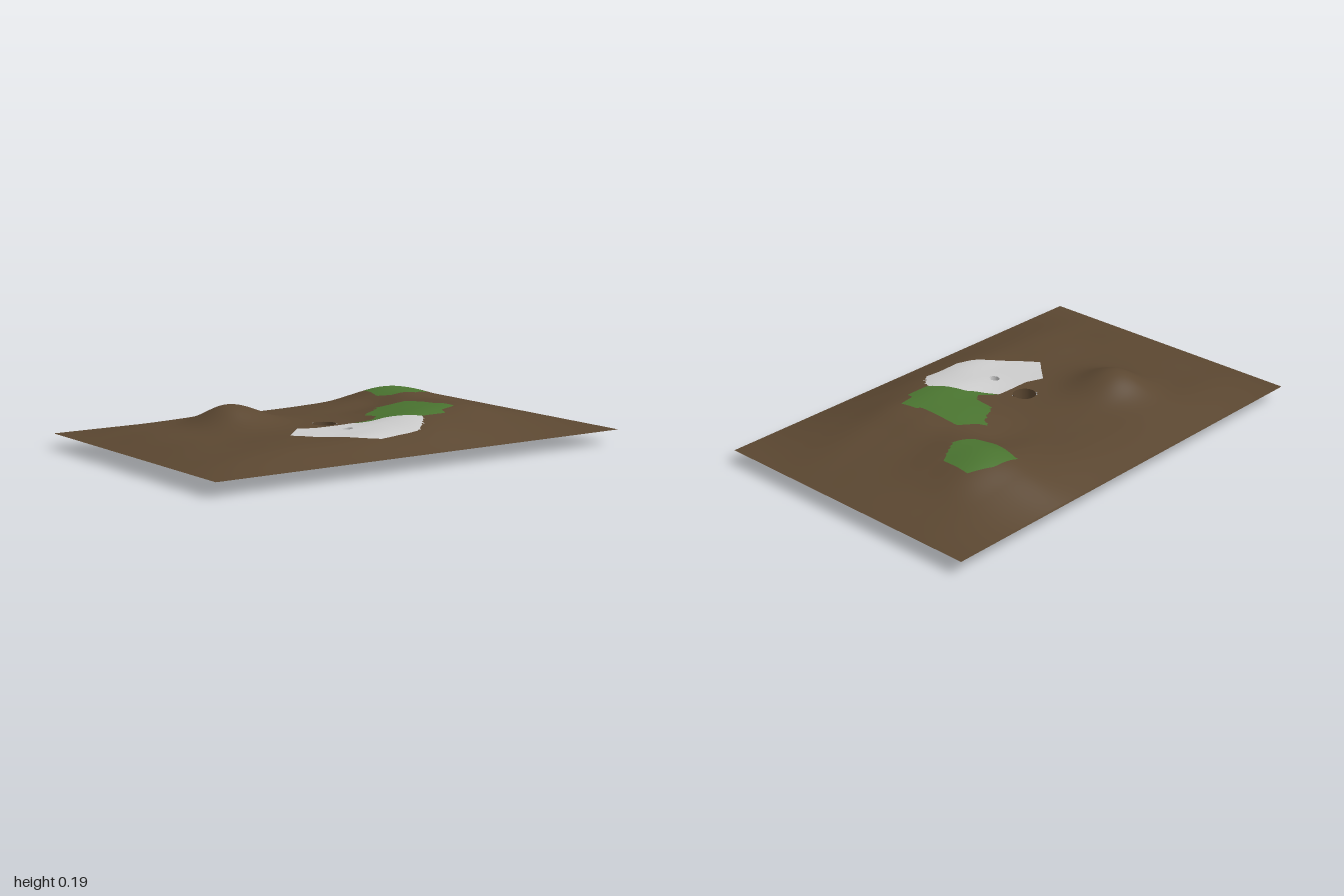
import * as THREE from 'three';

const soil = new THREE.MeshStandardMaterial({ name: 'soilBrown', color: 0x5b4731, side: THREE.DoubleSide });
const grass = new THREE.MeshStandardMaterial({ name: 'grassGreen', color: 0x4a7430, side: THREE.DoubleSide });
const pale = new THREE.MeshStandardMaterial({ name: 'paleGrey', color: 0xcccccc, side: THREE.DoubleSide });

const HALF_X = 0.645, HALF_Z = 1, EDGE = 0.06;

// Control heights of the rolling ground: one row per z, one column per x
const XS = [-HALF_X, -0.45, -0.3, -0.15, 0, 0.15, 0.3, 0.45, HALF_X];
const ZS = [-1, -0.8, -0.6, -0.45, -0.3, -0.15, 0, 0.2, 0.4, 0.6, 0.8, 1];
const inner = [
  [0.085, 0.095, 0.1, 0.1, 0.1, 0.1, 0.085],
  [0.12, 0.16, 0.155, 0.14, 0.14, 0.14, 0.11],
  [0.135, 0.176, 0.174, 0.165, 0.172, 0.168, 0.125],
  [0.11, 0.132, 0.128, 0.15, 0.165, 0.166, 0.13],
  [0.1, 0.11, 0.11, 0.128, 0.145, 0.158, 0.135],
  [0.095, 0.105, 0.11, 0.113, 0.118, 0.135, 0.122],
  [0.095, 0.105, 0.11, 0.11, 0.112, 0.114, 0.115],
  [0.1, 0.11, 0.115, 0.11, 0.11, 0.112, 0.105],
  [0.095, 0.1, 0.1, 0.1, 0.1, 0.105, 0.1],
  [0.085, 0.09, 0.095, 0.095, 0.095, 0.09, 0.085],
];
const flat = XS.map(() => EDGE);
const ROWS = [flat, ...inner.map((r) => [EDGE, ...r, EDGE]), flat];

// Smooth cubic curve through unevenly spaced knots
function interpolate(knots, values, t) {
  const last = knots.length - 1;
  let i = 0;
  while (i < last - 1 && t > knots[i + 1]) i++;
  const slope = (k) => {
    const a = Math.max(k - 1, 0), b = Math.min(k + 1, last);
    return (values[b] - values[a]) / (knots[b] - knots[a]);
  };
  const h = knots[i + 1] - knots[i];
  const u = Math.min(Math.max((t - knots[i]) / h, 0), 1), v = 1 - u;
  return v * v * (1 + 2 * u) * values[i] + u * u * (3 - 2 * u) * values[i + 1]
    + h * u * v * (v * slope(i) - u * slope(i + 1));
}

function heightAt(x, z) {
  const base = interpolate(ZS, ROWS.map((row) => interpolate(XS, row, x)), z);
  // Pointed knoll near the front, steeper on its front face
  const dx = (x + 0.18) / 0.11, dz = (z - 0.43) / (z > 0.43 ? 0.09 : 0.13);
  const fade = Math.min(1, (HALF_X - Math.abs(x)) * 8, (HALF_Z - Math.abs(z)) * 8);
  return base + 0.076 * fade * Math.exp(-(dx * dx + dz * dz) / 2);
}

// Outlines in plan, as [x, z]
const paleOutline = [
  [0.35, -0.18], [0.42, -0.13], [0.47, -0.065], [0.475, 0.04], [0.485, 0.13], [0.45, 0.2],
  [0.38, 0.26], [0.3, 0.33], [0.22, 0.39], [0.175, 0.345], [0.1, 0.275], [0.13, 0.2],
  [0.13, 0.03], [0.2, -0.04], [0.22, -0.08], [0.28, -0.12],
];
const largeGreenOutline = [
  [0, -0.36], [0.2, -0.365], [0.21, -0.385], [0.29, -0.395], [0.31, -0.31], [0.35, -0.3],
  [0.35, -0.18], [0.28, -0.12], [0.22, -0.08], [0.2, -0.04], [0.13, 0.03], [0.17, -0.06],
  [0.14, -0.1], [0.05, -0.1], [-0.02, -0.22], [-0.06, -0.24], [-0.03, -0.27],
];
const smallGreenOutline = [
  [-0.31, -0.62], [-0.17, -0.61], [-0.11, -0.49], [-0.15, -0.4], [-0.22, -0.365],
  [-0.37, -0.4], [-0.36, -0.52],
];
const cups = [
  { name: 'largeCup', x: 0.058, z: 0.11, radius: 0.05, bottom: 0, material: soil },
  { name: 'smallCup', x: 0.247, z: 0.123, radius: 0.023, bottom: 0.055, material: pale },
];
const SIDES = 24;
const circle = (c) => Array.from({ length: SIDES }, (_, i) => {
  const a = (i / SIDES) * Math.PI * 2;
  return [c.x + c.radius * Math.sin(a), c.z + c.radius * Math.cos(a)];
});
const holes = cups.map(circle);
const outlines = [paleOutline, largeGreenOutline, smallGreenOutline, ...holes];

function inside(outline, x, z) {
  let hit = false;
  outline.forEach(([ax, az], i) => {
    const [bx, bz] = outline[(i + 1) % outline.length];
    if ((az > z) !== (bz > z) && x < ax + ((z - az) / (bz - az)) * (bx - ax)) hit = !hit;
  });
  return hit;
}

// Pull a grid point onto the closest outline when it lies within reach
function snap(x, z, reach) {
  let best = reach, point = [x, z];
  for (const outline of outlines) {
    outline.forEach(([ax, az], i) => {
      const [bx, bz] = outline[(i + 1) % outline.length];
      const ex = bx - ax, ez = bz - az;
      const t = Math.min(1, Math.max(0, ((x - ax) * ex + (z - az) * ez) / (ex * ex + ez * ez)));
      const px = ax + ex * t, pz = az + ez * t, d = Math.hypot(px - x, pz - z);
      if (d < best) { best = d; point = [px, pz]; }
    });
  }
  return point;
}

function buildGround(group) {
  const nx = 108, nz = 168, step = (2 * HALF_X) / nx;
  const points = [];
  for (let j = 0; j <= nz; j++) {
    for (let i = 0; i <= nx; i++) {
      const [x, z] = snap(-HALF_X + i * step, -HALF_Z + (2 * HALF_Z * j) / nz, step * 0.55);
      const e = 0.006;
      const normal = new THREE.Vector3(
        heightAt(x - e, z) - heightAt(x + e, z), 2 * e, heightAt(x, z - e) - heightAt(x, z + e),
      ).normalize();
      points.push({ x, z, y: heightAt(x, z), normal });
    }
  }
  const surfaces = [
    { name: 'palePatch', outline: paleOutline, material: pale },
    { name: 'largeGreenPatch', outline: largeGreenOutline, material: grass },
    { name: 'smallGreenPatch', outline: smallGreenOutline, material: grass },
    { name: 'rollingGround', outline: null, material: soil },
  ].map((s) => ({ ...s, positions: [], normals: [] }));

  // Hand each triangle to the surface it falls in, leaving the cup holes open
  const addTriangle = (...ids) => {
    const corners = ids.map((id) => points[id]);
    const cx = corners.reduce((s, p) => s + p.x, 0) / 3;
    const cz = corners.reduce((s, p) => s + p.z, 0) / 3;
    if (holes.some((h) => inside(h, cx, cz))) return;
    const surface = surfaces.find((s) => !s.outline || inside(s.outline, cx, cz));
    for (const p of corners) {
      surface.positions.push(p.x, p.y, p.z);
      surface.normals.push(...p.normal.toArray());
    }
  };
  for (let j = 0; j < nz; j++) {
    for (let i = 0; i < nx; i++) {
      const a = j * (nx + 1) + i, b = a + 1, c = a + nx + 1, d = c + 1;
      addTriangle(a, c, b);
      addTriangle(b, c, d);
    }
  }
  for (const s of surfaces) {
    const geometry = new THREE.BufferGeometry();
    geometry.setAttribute('position', new THREE.Float32BufferAttribute(s.positions, 3));
    geometry.setAttribute('normal', new THREE.Float32BufferAttribute(s.normals, 3));
    const mesh = new THREE.Mesh(geometry, s.material);
    mesh.name = s.name;
    group.add(mesh);
  }
}

// Sunken cup: an open wall that meets the ground, closed by a floor
function buildCup(cup) {
  const part = new THREE.Group();
  part.name = cup.name;
  const wall = new THREE.CylinderGeometry(cup.radius, cup.radius, 1, SIDES, 1, true);
  const pos = wall.attributes.position;
  for (let i = 0; i < pos.count; i++) {
    const x = pos.getX(i) + cup.x, z = pos.getZ(i) + cup.z;
    pos.setXYZ(i, x, pos.getY(i) > 0 ? heightAt(x, z) : cup.bottom, z);
  }
  const floor = new THREE.CircleGeometry(cup.radius, SIDES).rotateX(-Math.PI / 2);
  floor.translate(cup.x, cup.bottom, cup.z);
  for (const [name, geometry] of [['cupWall', wall], ['cupFloor', floor]]) {
    const mesh = new THREE.Mesh(geometry, cup.material);
    mesh.name = name;
    part.add(mesh);
  }
  return part;
}

export function createModel() {
  const model = new THREE.Group();
  model.name = 'rollingLandscape';
  buildGround(model);
  cups.forEach((cup) => model.add(buildCup(cup)));
  return model;
}
